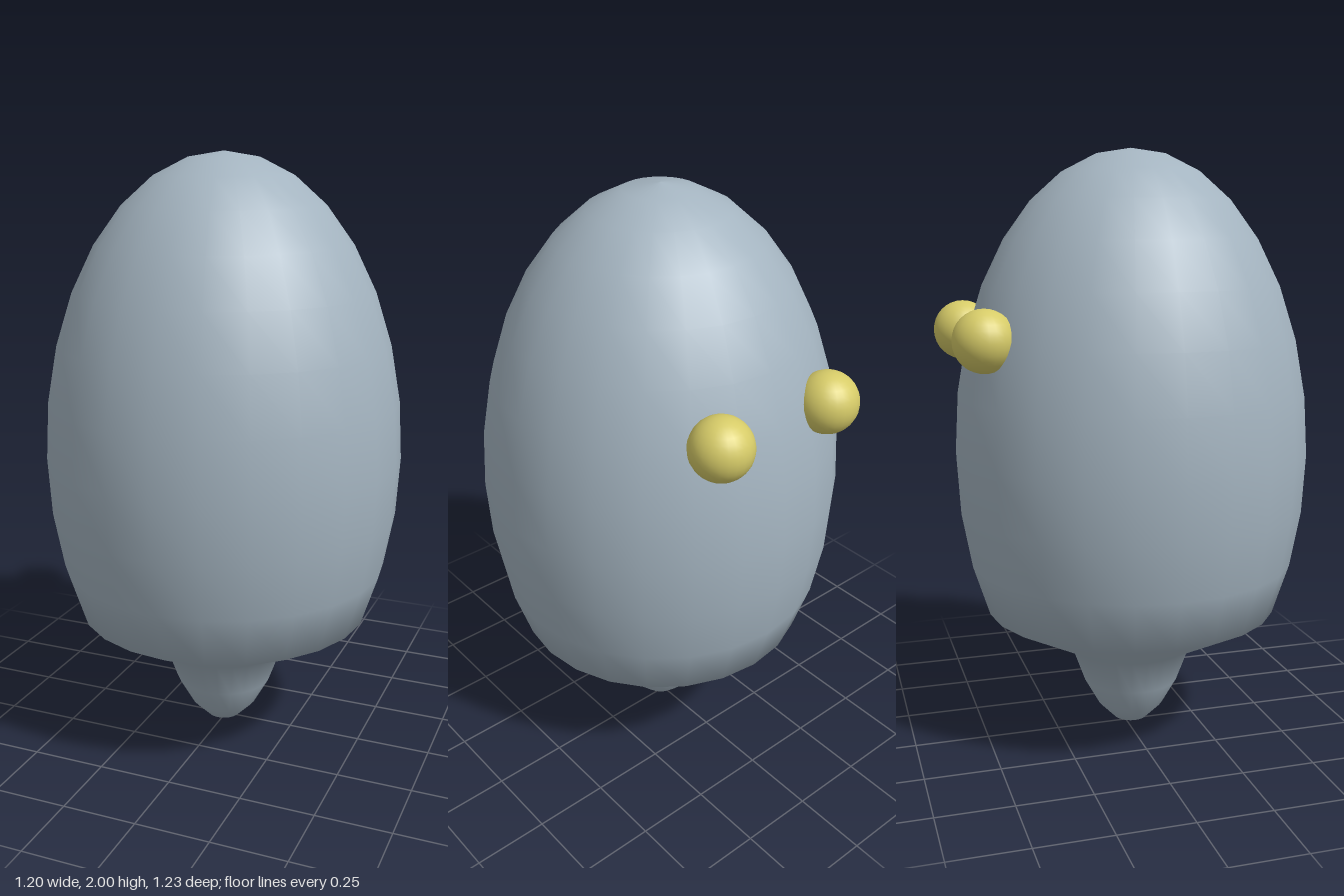
import * as THREE from 'three';

export function createModel() {
  const model = new THREE.Group();
  const slate = new THREE.MeshStandardMaterial({ color: 0xa4b4c0 });
  slate.name = 'slate grey';
  const yellow = new THREE.MeshStandardMaterial({ color: 0xd6cb68 });
  yellow.name = 'soft yellow';

  // Egg-shaped body; the lowest rings are pinched to half width to form the tip
  const rings = 16, profile = [];
  for (let i = rings; i >= 0; i--) {
    const a = (i / rings) * Math.PI;
    const width = i >= 12 ? 0.3 : 0.6;
    profile.push(new THREE.Vector2(Math.max(0, width * Math.sin(a)), 1 + Math.cos(a)));
  }
  const body = new THREE.Mesh(new THREE.LatheGeometry(profile, 24), slate);
  body.name = 'body';
  body.position.z = 0.017;
  model.add(body);

  // Pair of round eyes set into the back
  for (const side of [1, -1]) {
    const eye = new THREE.Mesh(new THREE.SphereGeometry(0.1, 24, 16), yellow);
    eye.name = side > 0 ? 'leftEye' : 'rightEye';
    eye.position.set(side * 0.22, 1.4, -0.517);
    model.add(eye);
  }
  return model;
}
